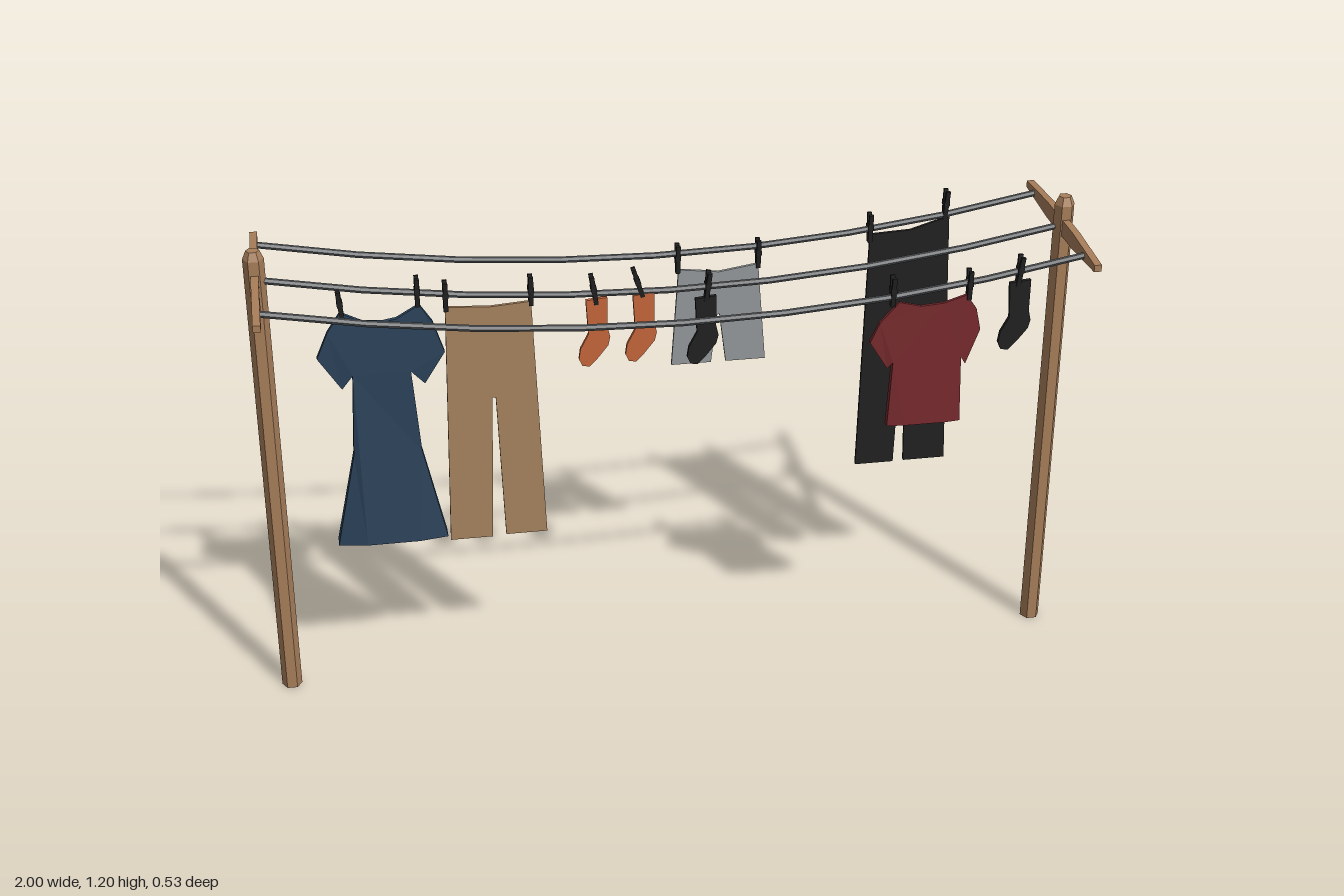
import * as THREE from 'three';

const mat = (name, color) => {
  const m = new THREE.MeshStandardMaterial({ color });
  m.name = name;
  m.flatShading = true;
  return m;
};

export function createModel() {
  const group = new THREE.Group();
  const wood = mat('wood', 0xa87e5a), rope = mat('rope', 0x55585b), navy = mat('navy', 0x2b425a);
  const tan = mat('tan', 0xa88460), orange = mat('orange', 0xc6673c), black = mat('black', 0x212121);
  const grey = mat('grey', 0x95999b), red = mat('red', 0x772a2d);

  const add = (name, geometry, material, x = 0, y = 0, z = 0, parent = group) => {
    const mesh = new THREE.Mesh(geometry, material);
    mesh.name = name;
    mesh.position.set(x, y, z);
    parent.add(mesh);
    return mesh;
  };

  // Closed cloth body: outline points are [x, y, half thickness]
  const cloth = (name, pts, material, z, x = 0, y = 0) => {
    const shape = new THREE.Shape(pts.map(p => new THREE.Vector2(p[0], p[1])));
    const geo = new THREE.ExtrudeGeometry(shape, { depth: 1, bevelEnabled: false });
    const pos = geo.attributes.position;
    for (let i = 0; i < pos.count; i++) {
      const near = pts.find(p => Math.hypot(p[0] - pos.getX(i), p[1] - pos.getY(i)) < 1e-4);
      const t = near[2] ?? 0.004;
      pos.setZ(i, pos.getZ(i) > 0.5 ? t : -t);
    }
    geo.computeVertexNormals();
    return add(name, geo, material, x, y, z);
  };

  // Six-sided posts with chamfered tops, and tapered crossbars
  const postProfile = [[0, 0], [0.025, 0], [0.025, 1.182], [0.016, 1.203], [0, 1.203]]
    .map(p => new THREE.Vector2(...p));
  const barShape = new THREE.Shape([
    [-0.265, 1.119], [-0.1, 1.107], [0.1, 1.107], [0.265, 1.119],
    [0.265, 1.136], [0.1, 1.147], [-0.1, 1.147], [-0.265, 1.136],
  ].map(p => new THREE.Vector2(...p)));
  for (const side of [-1, 1]) {
    add('post', new THREE.LatheGeometry(postProfile, 6, Math.PI / 2), wood, side * 0.975);
    const bar = new THREE.ExtrudeGeometry(barShape, { depth: 0.018, bevelEnabled: false });
    bar.translate(0, 0, -0.009).rotateY(Math.PI / 2);
    add('crossbar', bar, wood, side * 0.975);
  }

  // Sagging lines
  const BACK = -0.205, MID = 0, FRONT = 0.185;
  const sag = x => 1.027 + 0.1 * (x / 0.97) ** 2;
  for (const z of [BACK, MID, FRONT]) {
    const pts = [];
    for (let i = 0; i <= 8; i++) {
      const x = -0.97 + i * 0.2425;
      pts.push(new THREE.Vector3(x, sag(x), z));
    }
    add('washingLine', new THREE.TubeGeometry(new THREE.CatmullRomCurve3(pts), 8, 0.008, 6), rope);
  }

  // Clothes pegs: [x, top height, line, lean]
  const pegs = [
    [-0.785, 1.087, MID, 0.1], [-0.603, 1.107, MID, 0], [-0.537, 1.09, MID, 0], [-0.334, 1.09, MID, 0],
    [-0.183, 1.08, MID, 0.15], [-0.076, 1.09, MID, 0.3], [0.094, 1.068, MID, -0.1],
    [0.056, 1.052, BACK, 0], [0.26, 1.052, BACK, 0], [0.545, 1.1, BACK, 0], [0.738, 1.15, BACK, -0.05],
    [0.504, 1.107, FRONT, 0], [0.69, 1.11, FRONT, 0], [0.812, 1.137, FRONT, -0.08],
  ];
  for (const [x, top, z, lean] of pegs) {
    const peg = new THREE.Group();
    peg.name = 'peg';
    peg.position.set(x, top - 0.038, z);
    peg.rotation.z = lean;
    for (const s of [-1, 1]) {
      const leg = add('pegLeg', new THREE.BoxGeometry(0.011, 0.076, 0.008), black, 0, 0, s * 0.007, peg);
      leg.rotation.x = s * 0.1;
    }
    add('pegSpring', new THREE.BoxGeometry(0.014, 0.012, 0.024), black, 0, 0.004, 0, peg);
    group.add(peg);
  }

  // Dress flaring towards the hem
  cloth('dress', [
    [-0.83, 0.406, 0.02], [-0.76, 0.406, 0.032], [-0.63, 0.406, 0.032], [-0.56, 0.406, 0.02],
    [-0.612, 0.65, 0.014], [-0.628, 0.866, 0.012], [-0.596, 0.83, 0.008], [-0.545, 0.91, 0.008],
    [-0.57, 0.99, 0.007], [-0.6, 1.037, 0.005], [-0.655, 1.005, 0.006], [-0.69, 0.999, 0.006],
    [-0.735, 1.003, 0.006], [-0.787, 1.03, 0.005], [-0.82, 0.98, 0.007], [-0.848, 0.915, 0.008],
    [-0.794, 0.83, 0.008], [-0.767, 0.866, 0.012], [-0.778, 0.65, 0.014],
  ], navy, MID);

  // Shirt
  cloth('shirt', [
    [0.502, 0.714, 0.01], [0.545, 0.714, 0.015], [0.645, 0.714, 0.015], [0.684, 0.714, 0.01],
    [0.678, 0.885, 0.009], [0.69, 0.866, 0.006], [0.722, 0.955, 0.006], [0.71, 1.01, 0.005],
    [0.684, 1.047, 0.004], [0.63, 1.03, 0.004], [0.575, 1.026, 0.004], [0.52, 1.04, 0.004],
    [0.475, 0.99, 0.005], [0.452, 0.94, 0.006], [0.497, 0.868, 0.006], [0.51, 0.885, 0.009],
  ], red, FRONT);

  // Trousers and shorts
  cloth('tanTrousers', [
    [-0.553, 0.385], [-0.448, 0.385], [-0.435, 0.775], [-0.427, 0.775], [-0.414, 0.388],
    [-0.311, 0.388], [-0.334, 1.025], [-0.435, 1.018], [-0.539, 1.025],
  ], tan, MID);
  cloth('blackTrousers', [
    [0.532, 0.387], [0.634, 0.387], [0.644, 0.77], [0.652, 0.77], [0.662, 0.388],
    [0.773, 0.388], [0.748, 1.08], [0.65, 1.05], [0.545, 1.045],
  ], black, BACK);
  cloth('shorts', [
    [0.04, 0.722], [0.142, 0.722], [0.157, 0.855], [0.163, 0.855], [0.18, 0.722],
    [0.282, 0.722], [0.26, 0.987], [0.16, 0.972], [0.058, 0.985],
  ], grey, BACK);

  // Socks hanging toe to the left
  const sock = [
    [-0.025, 0], [-0.02, -0.09], [-0.04, -0.128], [-0.044, -0.155], [-0.036, -0.173], [-0.018, -0.176],
    [0.002, -0.155], [0.028, -0.122], [0.033, -0.1], [0.027, -0.075], [0.027, 0.005],
  ].reverse().map(p => [...p, 0.005]);
  for (const [x, y, z, m] of [
    [-0.178, 1.016, MID, orange], [-0.064, 1.02, MID, orange], [0.088, 1, MID, black], [0.813, 1.07, FRONT, black],
  ]) cloth('sock', sock, m, z, x, y);

  return group;
}
